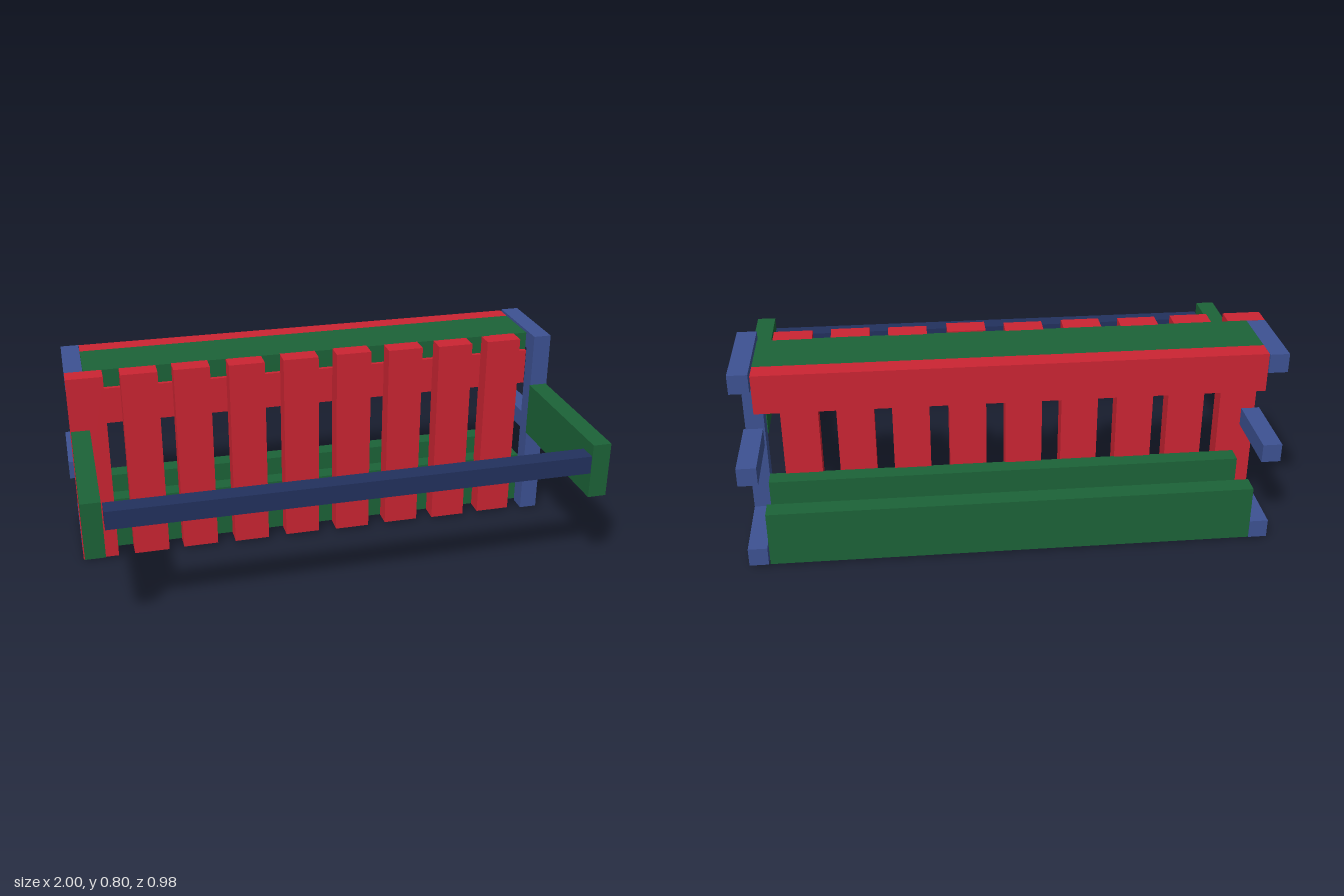
import * as THREE from 'three';

const paint = (color) => new THREE.MeshStandardMaterial({ color });

export function createModel() {
  const group = new THREE.Group();
  const red = paint(0xcc2533), green = paint(0x1c6338);
  const blue = paint(0x3d5293), navy = paint(0x22315e);

  // Straight timber given by its [min, max] along each axis
  function timber(name, material, [x0, x1], [y0, y1], [z0, z1]) {
    const mesh = new THREE.Mesh(new THREE.BoxGeometry(x1 - x0, y1 - y0, z1 - z0), material);
    mesh.position.set((x0 + x1) / 2, (y0 + y1) / 2, (z0 + z1) / 2);
    mesh.name = name;
    group.add(mesh);
  }

  // Upright front slats, slightly uneven in spacing
  const slatCentres = [-0.91, -0.703, -0.5, -0.285, -0.067, 0.148, 0.365, 0.575, 0.785];
  slatCentres.forEach((x, i) => {
    const lift = i === 5 ? 0.005 : 0;
    const front = i % 2 || i === 0 ? -0.115 : -0.12;
    timber('slat', red, [x - 0.071, x + 0.071], [0.008, 0.793 + lift], [front - 0.075, front]);
  });

  // Left end frame: post with three arms to the back
  timber('endPost', blue, [0.918, 0.99], [0, 0.798], [-0.19, -0.12]);
  timber('topArm', blue, [0.918, 0.99], [0.726, 0.798], [-0.482, -0.19]);
  timber('middleArm', blue, [0.925, 0.998], [0.355, 0.427], [-0.482, -0.188]);
  timber('bottomArm', blue, [0.918, 0.99], [0.008, 0.08], [-0.482, -0.19]);

  // Right end arms, carried by the outermost slat
  timber('topArm', blue, [-0.982, -0.911], [0.72, 0.792], [-0.489, -0.19]);
  timber('middleArm', blue, [-1, -0.928], [0.344, 0.416], [-0.482, -0.188]);
  timber('bottomArm', blue, [-0.982, -0.911], [0.008, 0.08], [-0.482, -0.19]);

  // Top board with its back rail, and the rail behind the slats
  timber('topBoard', green, [-0.91, 0.912], [0.721, 0.793], [-0.41, -0.19]);
  timber('backRail', red, [-0.91, 0.912], [0.646, 0.793], [-0.484, -0.41]);
  timber('slatRail', red, [-0.91, 0.917], [0.568, 0.714], [-0.263, -0.19]);

  // Pair of low boards
  timber('lowerFrontBoard', green, [-0.91, 0.917], [0.01, 0.227], [-0.257, -0.19]);
  timber('lowerBackBoard', green, [-0.91, 0.912], [0.01, 0.227], [-0.483, -0.411]);

  // Side panels reaching forward, joined by the front bar
  timber('leftSidePanel', green, [0.915, 0.987], [0.366, 0.584], [-0.12, 0.488]);
  timber('rightSidePanel', green, [-0.978, -0.906], [0.36, 0.578], [-0.115, 0.488]);
  timber('frontBar', navy, [-0.9, 0.914], [0.467, 0.538], [0.415, 0.487]);

  return group;
}
